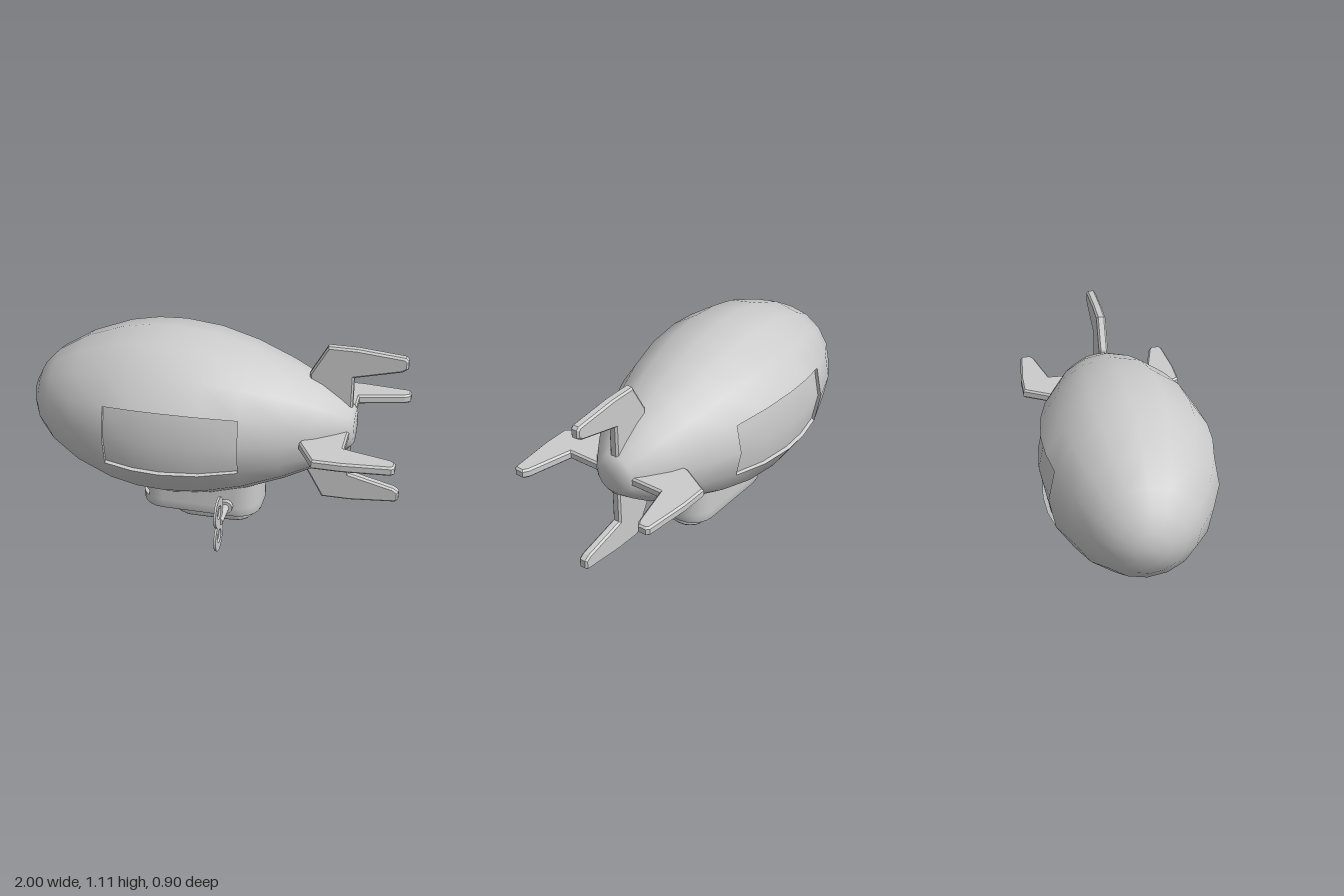
import * as THREE from 'three';
import { toCreasedNormals } from 'three/addons/utils/BufferGeometryUtils.js';

const AXIS_Y = 0.64;   // height of the hull's long axis
const material = new THREE.MeshStandardMaterial({ color: 0xcccccc });

function part(name, geometry, parent) {
  const mesh = new THREE.Mesh(geometry, material);
  mesh.name = name;
  parent.add(mesh);
  return mesh;
}

// Collects quads (skipping collapsed triangles) and gives creased normals
function quadBuilder() {
  const points = [];
  const tri = (a, b, c) => {
    const area = b.clone().sub(a).cross(c.clone().sub(a)).length();
    if (area > 1e-7) points.push(a, b, c);
  };
  return {
    quad(a, b, c, d) { tri(a, b, c); tri(a, c, d); },
    build(crease) {
      const g = new THREE.BufferGeometry().setFromPoints(points);
      g.scale(100, 100, 100);            // finer vertex matching
      const out = toCreasedNormals(g, crease);
      out.scale(0.01, 0.01, 0.01);
      return out;
    },
  };
}

// Sixteen-sided hull along x, with a sunken panel on each flank
function hullGeometry() {
  const sides = 16;
  const profile = [
    [-1, 0], [-0.985, 0.09], [-0.94, 0.178], [-0.86, 0.262], [-0.7, 0.36],
    [-0.5, 0.435], [-0.35, 0.463], [-0.2, 0.47], [0, 0.45], [0.2, 0.398],
    [0.4, 0.32], [0.57, 0.237], [0.67, 0.165], [0.73, 0.115], [0.75, 0.09], [0.75, 0],
  ];
  const level = (i, j) => {
    const [x] = profile[i];
    const flank = [3, 4, 11, 12].includes(j % sides);
    return flank && x >= -0.5 && x < 0.2 ? 0.957 : 1;
  };
  const at = (i, j, s) => {
    const [x, r] = profile[i];
    const a = (j % sides) / sides * Math.PI * 2;
    return new THREE.Vector3(x, AXIS_Y + r * s * Math.cos(a), r * s * Math.sin(a));
  };
  const skin = quadBuilder();
  for (let i = 0; i < profile.length - 1; i++) {
    for (let j = 0; j < sides; j++) {
      const s = level(i, j);
      skin.quad(at(i, j, s), at(i, j + 1, s), at(i + 1, j + 1, s), at(i + 1, j, s));
      // step walls round the sunken panels
      const sj = level(i, j + 1);
      if (sj !== s) skin.quad(at(i, j + 1, s), at(i, j + 1, sj), at(i + 1, j + 1, sj), at(i + 1, j + 1, s));
      const si = level(i + 1, j);
      if (si !== s) skin.quad(at(i + 1, j, s), at(i + 1, j + 1, s), at(i + 1, j + 1, si), at(i + 1, j, si));
    }
  }
  return skin.build(0.7);
}

// Loft through rounded rectangles, top to bottom; each is [y, x0, x1, halfZ, radius, notch]
function loftGeometry(rings) {
  const rows = rings.map(([y, x0, x1, w, r, notch = 0]) => {
    const row = [];
    const corners = [[x1 - r, w - r], [x0 + r, w - r], [x0 + r, r - w], [x1 - r, r - w]];
    corners.forEach(([cx, cz], k) => {
      for (let n = 0; n <= 5; n++) {
        const a = (k + n / 5) * Math.PI / 2;
        const x = cx + r * Math.cos(a), z = cz + r * Math.sin(a);
        const pulled = notch && x < x0 + 0.05;
        row.push(new THREE.Vector3(pulled ? x + notch : x, y, pulled ? z * 0.94 : z));
      }
    });
    return row;
  });
  const skin = quadBuilder();
  for (let i = 0; i < rows.length - 1; i++) {
    const a = rows[i], b = rows[i + 1];
    for (let j = 0; j < a.length; j++) {
      const k = (j + 1) % a.length;
      skin.quad(a[j], a[k], b[k], b[j]);
    }
  }
  return skin.build(0.7);
}

// Swept tail fin, drawn as x along the hull and y away from its axis
function finGeometry() {
  const outline = [
    [0.5, 0.06], [0.73, 0.06], [0.73, 0.285], [0.97, 0.345], [1, 0.365],
    [1, 0.41], [0.985, 0.425], [0.74, 0.447], [0.59, 0.447], [0.5, 0.285],
  ];
  const shape = new THREE.Shape(outline.map(([x, y]) => new THREE.Vector2(x, y)));
  const g = new THREE.ExtrudeGeometry(shape, {
    depth: 0.03, bevelThickness: 0.01, bevelSize: 0.01, bevelOffset: -0.01, bevelSegments: 1,
  });
  return g.translate(0, 0, -0.015);
}

// Figure-eight key handle with two finger holes
function keyHandleGeometry() {
  const c = 0.073, r = 0.084, t = Math.acos(c / r), h = Math.PI / 2;
  const shape = new THREE.Shape();
  shape.absarc(0, c, r, -h + t, 3 * h - t, false);
  shape.absarc(0, -c, r, h + t, 5 * h - t, false);
  for (const y of [c, -c]) {
    const hole = new THREE.Path();
    hole.absarc(0, y, 0.038, 0, Math.PI * 2, true);
    shape.holes.push(hole);
  }
  const g = new THREE.ExtrudeGeometry(shape, { depth: 0.012, bevelEnabled: false, curveSegments: 10 });
  return g.translate(0, 0, -0.006).rotateY(Math.PI / 2);
}

export function createModel() {
  const model = new THREE.Group();
  model.name = 'windUpAirship';

  part('hull', hullGeometry(), model);

  // Four tail fins round the axis
  const fins = new THREE.Group();
  fins.name = 'tailFins';
  fins.position.y = AXIS_Y;
  model.add(fins);
  const fin = finGeometry();
  ['topFin', 'frontFin', 'bottomFin', 'backFin'].forEach((name, i) => {
    part(name, fin, fins).rotation.x = i * Math.PI / 2;
  });

  // Cabin with a window slot round its nose
  part('cabin', loftGeometry([
    [0.34, -0.39, 0.27, 0.178, 0.13], [0.18, -0.39, 0.27, 0.178, 0.13],
    [0.18, -0.39, 0.27, 0.178, 0.13, 0.02], [0.145, -0.39, 0.27, 0.178, 0.13, 0.02],
    [0.145, -0.39, 0.27, 0.178, 0.13], [0.105, -0.39, 0.27, 0.178, 0.13],
    [0.091, -0.385, 0.265, 0.172, 0.125], [0.085, -0.37, 0.25, 0.158, 0.11],
    [0.085, -0.06, -0.06, 0, 0],
  ]), model);

  // Keel below the cabin, raked at the nose, with a slot underneath
  part('keel', loftGeometry([
    [0.1, -0.295, 0.222, 0.113, 0.1], [0.08, -0.275, 0.222, 0.113, 0.1],
    [0.03, -0.22, 0.22, 0.11, 0.1], [0.017, -0.205, 0.208, 0.098, 0.09],
    [0.017, -0.14, 0.145, 0.045, 0.044], [0.04, -0.14, 0.145, 0.045, 0.044],
    [0.04, 0, 0, 0, 0],
  ]), model);

  // Wind-up key on the front side
  const key = new THREE.Group();
  key.name = 'windUpKey';
  key.position.set(0.1, 0.16, 0);
  model.add(key);
  const rod = (name, radius, z0, z1) => part(name,
    new THREE.CylinderGeometry(radius, radius, z1 - z0, 16).rotateX(Math.PI / 2).translate(0, 0, (z0 + z1) / 2), key);
  rod('keyCollar', 0.037, 0.15, 0.203);
  rod('keyShaft', 0.02, 0.17, 0.343);
  part('keyHandle', keyHandleGeometry(), key).position.z = 0.365;

  return model;
}
